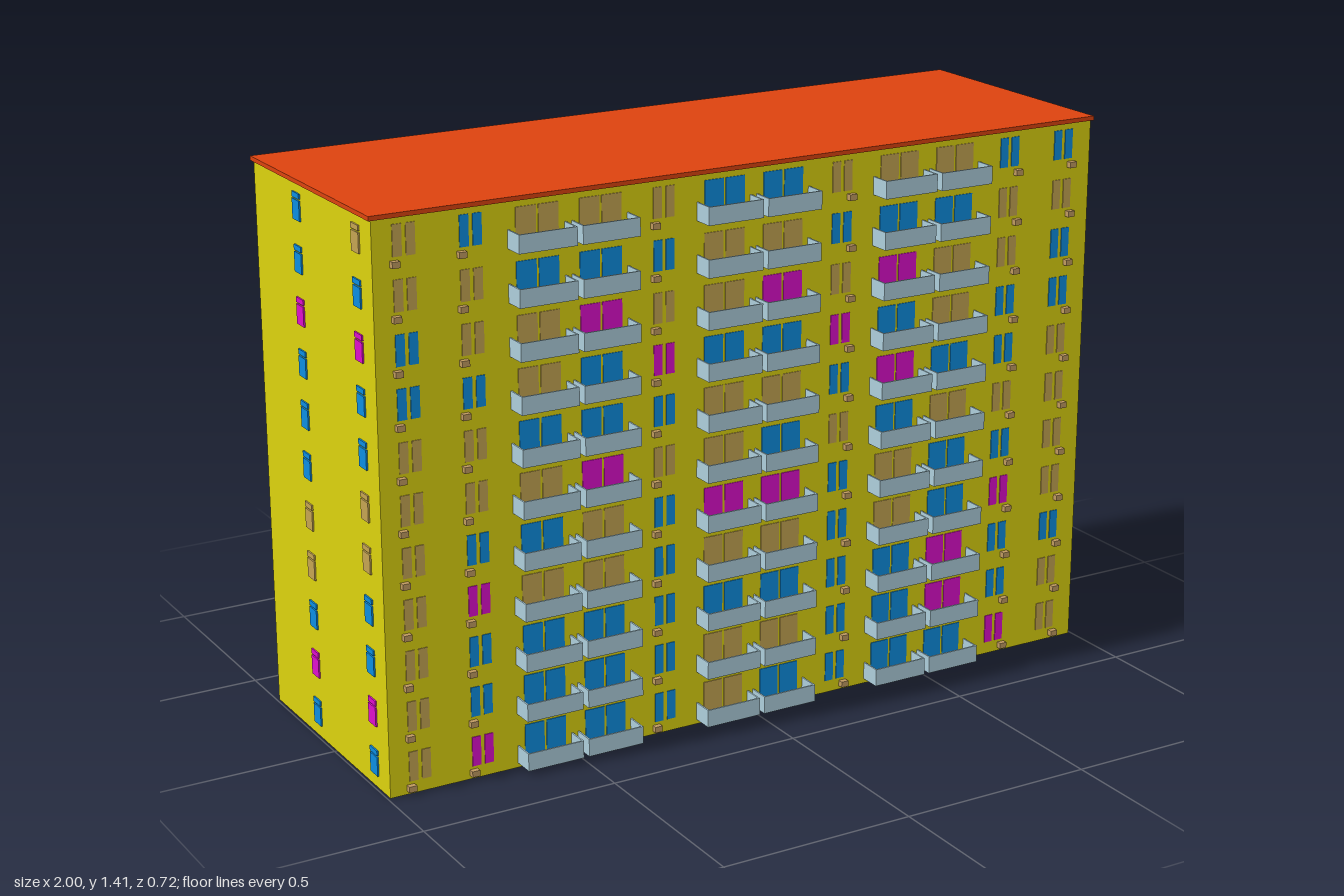
import * as THREE from 'three';
import { mergeGeometries } from 'three/addons/utils/BufferGeometryUtils.js';

const STOREYS = 11, PITCH = 0.1274, TOP = 1.398;
const HALF_X = 0.993, FRONT = 0.306, BACK = -0.358, WALL = 0.008;

const mat = (color) => new THREE.MeshStandardMaterial({ color });
const MATS = {
  wall: mat(0xdcd20e), roof: mat(0xdc420e), balcony: mat(0xadcedb), cooler: mat(0xc09a60),
  B: mat(0x0d8de0), T: mat(0xc4a452), M: mat(0xdd0fcc),
};
const GLASS = { B: 'blueWindows', T: 'tanWindows', M: 'magentaWindows' };

// Curtain colours, one string per storey from the top down
const FRONT_COLOURS = [
  'TBTTTBBTTTBB', 'TTBBBTTBBBTT', 'BTTMTTMTMTTB', 'BBTBMBBMBTBB',
  'TTBBBTTBMBBT', 'TTTMTTBTBTTT', 'TBBTBMMBTBBT', 'TMTTBTTBTBMT',
  'TBBBBBBBBMBB', 'TBBBBTTBBMBT', 'TMBBBTBBBBMT',
];
const SIDE_COLOURS = {
  right: ['BMMBMTTBBBB', 'BBBMBBTTBBB'],
  left: ['TBMBBTTBBMB', 'BBMBBBTTBMB'],
};
// Front bays from -x to +x
const BAYS = [
  { x: -0.915 }, { x: -0.75 }, { x: -0.582, balcony: true }, { x: -0.418, balcony: true },
  { x: -0.25 }, { x: -0.085, balcony: true }, { x: 0.078, balcony: true }, { x: 0.246 },
  { x: 0.412, balcony: true }, { x: 0.576, balcony: true }, { x: 0.743 }, { x: 0.909 },
];

export function createModel() {
  const model = new THREE.Group();
  const parts = new Map();

  // Collects a box, given by its limits, under a part name
  function box(name, material, x0, x1, y0, y1, z0, z1) {
    const g = new THREE.BoxGeometry(x1 - x0, y1 - y0, z1 - z0);
    g.translate((x0 + x1) / 2, (y0 + y1) / 2, (z0 + z1) / 2);
    if (!parts.has(name)) parts.set(name, { material, list: [] });
    parts.get(name).list.push(g);
  }

  // Hollow shell, open below, with a narrow joint in the back wall
  box('frontWall', MATS.wall, -HALF_X, HALF_X, 0, TOP, FRONT - WALL, FRONT);
  for (const s of [-1, 1]) {
    const [a, b] = [s * 0.004, s * HALF_X].sort((p, q) => p - q);
    box('backWall', MATS.wall, a, b, 0, TOP, BACK, BACK + WALL);
    const [c, d] = [s * HALF_X, s * (HALF_X - WALL)].sort((p, q) => p - q);
    box('sideWalls', MATS.wall, c, d, 0, TOP, BACK + WALL, FRONT - WALL);
  }
  box('roof', MATS.roof, -1, 1, TOP - 0.002, 1.407, -0.362, 0.31);

  // Twin-paned window through the front wall
  function frontWindow(key, x, half, gap, y0, y1) {
    for (const s of [-1, 1]) {
      const [a, b] = [x + s * gap, x + s * half].sort((p, q) => p - q);
      box(GLASS[key], MATS[key], a, b, y0, y1, FRONT - WALL - 0.002, FRONT + 0.002);
    }
  }

  // Balcony tray: floor, front panel and two end panels
  function balcony(x, y) {
    const w = 0.075, t = 0.004, z1 = 0.362, y0 = y + 0.012, y1 = y + 0.057;
    box('balconies', MATS.balcony, x - w, x + w, y0, y0 + t, FRONT, z1);
    box('balconies', MATS.balcony, x - w, x + w, y0 + t, y1, z1 - t, z1);
    box('balconies', MATS.balcony, x - w, x - w + t, y0 + t, y1, FRONT, z1 - t);
    box('balconies', MATS.balcony, x + w - t, x + w, y0 + t, y1, FRONT, z1 - t);
  }

  for (let i = 0; i < STOREYS; i++) {
    const y = i * PITCH, row = STOREYS - 1 - i;

    BAYS.forEach((bay, c) => {
      const key = FRONT_COLOURS[row][c];
      if (bay.balcony) {
        frontWindow(key, bay.x, 0.055, 0.003, y + 0.018, y + 0.107);
        balcony(bay.x, y);
      } else {
        frontWindow(key, bay.x, 0.028, 0.005, y + 0.032, y + 0.107);
        // Cooling unit below the outer corner of the window
        const cx = bay.x + Math.sign(bay.x) * 0.025;
        box('coolingUnits', MATS.cooler, cx - 0.01, cx + 0.01, y + 0.009, y + 0.024, FRONT, 0.32);
      }
    });

    // Side windows: main pane with a transom strip above
    for (const [side, s] of [['right', 1], ['left', -1]]) {
      [0.225, -0.105].forEach((z, c) => {
        const key = SIDE_COLOURS[side][c][row];
        const [a, b] = [s * (HALF_X - WALL - 0.002), s * (HALF_X + 0.004)].sort((p, q) => p - q);
        box(GLASS[key], MATS[key], a, b, y + 0.032, y + 0.081, z - 0.02, z + 0.02);
        box(GLASS[key], MATS[key], a, b, y + 0.085, y + 0.098, z - 0.02, z + 0.02);
      });
    }
  }

  for (const [name, { material, list }] of parts) {
    const mesh = new THREE.Mesh(mergeGeometries(list), material);
    mesh.name = name;
    model.add(mesh);
  }
  model.name = 'apartmentBlock';
  return model;
}
